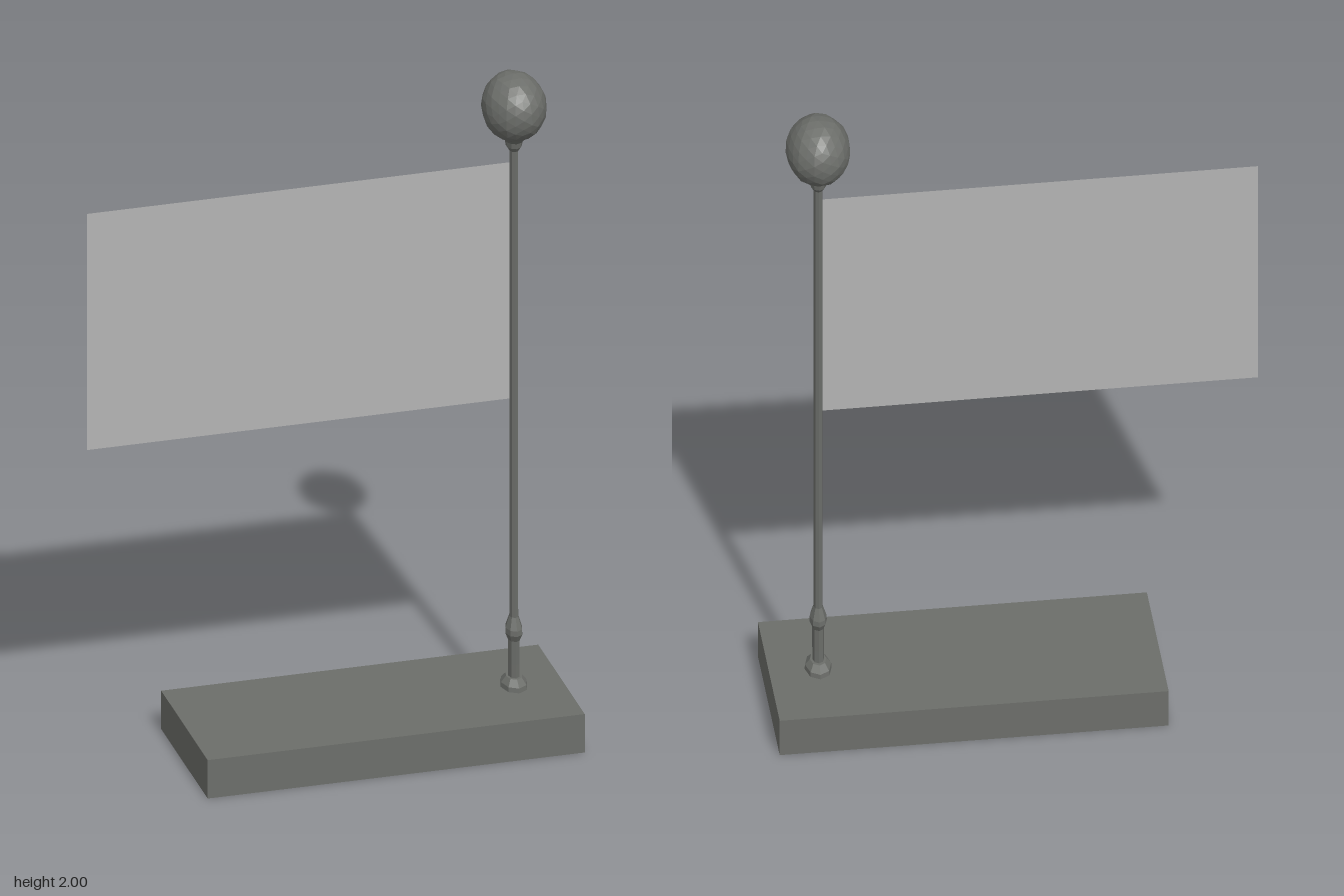
import * as THREE from 'three';

const steel = new THREE.MeshStandardMaterial({ name: 'grey metal', color: 0x6c6e6a, flatShading: true });
const cloth = new THREE.MeshStandardMaterial({ name: 'light cloth', color: 0xb3b3b3, side: THREE.DoubleSide });
const POLE_X = 0.545;

function add(group, name, geometry, material, x, y, z) {
  const mesh = new THREE.Mesh(geometry, material);
  mesh.name = name;
  mesh.position.set(x, y, z);
  group.add(mesh);
  return mesh;
}

// Turned part with an oval section, narrower across x
function turned(points, sides, xScale) {
  const profile = points.map(([r, y]) => new THREE.Vector2(r, y));
  return new THREE.LatheGeometry(profile, sides).scale(xScale, 1, 1);
}

// Faceted ball with slight hammered dents
function hammeredBall() {
  const g = new THREE.IcosahedronGeometry(1, 3);
  const p = g.attributes.position;
  const v = new THREE.Vector3();
  for (let i = 0; i < p.count; i++) {
    v.fromBufferAttribute(p, i);
    const dent = 1 + 0.018 * Math.sin(7 * v.x + 3 * v.y) * Math.cos(6 * v.z - 4 * v.y);
    v.multiplyScalar(dent);
    p.setXYZ(i, v.x * 0.09, v.y * 0.1, v.z * 0.107);
  }
  g.computeVertexNormals();
  return g;
}

export function createModel() {
  const model = new THREE.Group();
  model.name = 'flag on stand';

  // Slab base
  add(model, 'base', new THREE.BoxGeometry(1.09, 0.118, 0.47), steel, 0.138, 0.059, 0);

  // Flange, socket and collar
  add(model, 'poleSocket', turned([
    [0, 0.115], [0.056, 0.118], [0.054, 0.132], [0.034, 0.15], [0.024, 0.15],
    [0.024, 0.19], [0.025, 0.262], [0.036, 0.282], [0.035, 0.298], [0.019, 0.333], [0, 0.333],
  ], 8, 0.68), steel, POLE_X, 0, 0);

  // Slim pole
  add(model, 'pole', turned([[0.019, 0.3], [0.018, 1.8]], 8, 0.68), steel, POLE_X, 0, 0);

  // Neck below the ball
  add(model, 'ballNeck', turned([
    [0.018, 1.765], [0.028, 1.778], [0.032, 1.795], [0.06, 1.825],
  ], 10, 0.78), steel, POLE_X, 0, 0);

  add(model, 'ball', hammeredBall(), steel, POLE_X, 1.899, 0);

  // Flat flag sheet
  add(model, 'flag', new THREE.PlaneGeometry(1.232, 0.726), cloth, -0.072, 1.364, 0);

  return model;
}
